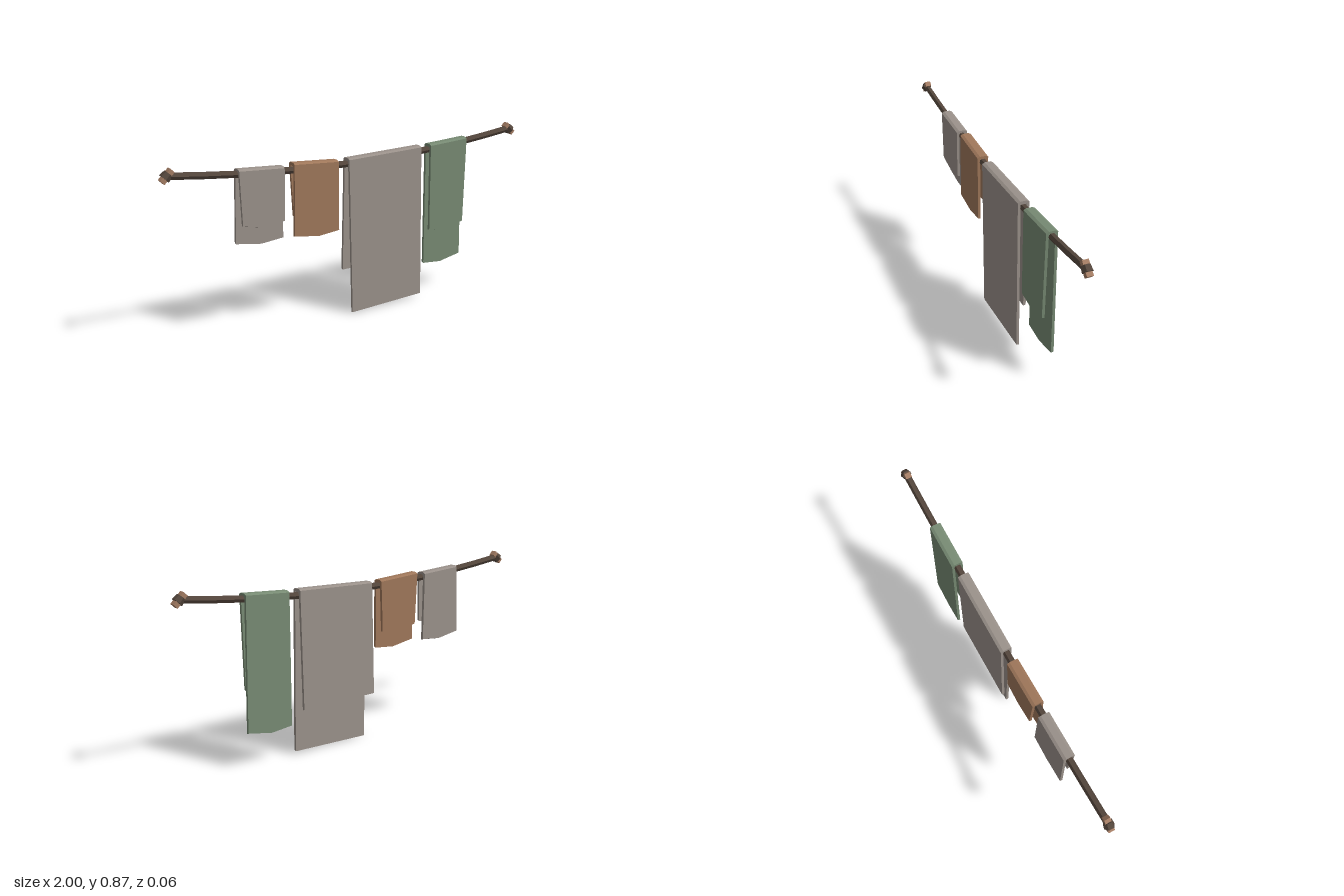
import * as THREE from 'three';

const paint = (name, color) => {
  const m = new THREE.MeshStandardMaterial({ color });
  m.name = name;
  return m;
};

// Faceted normals for any geometry
function facet(geometry) {
  const g = geometry.index ? geometry.toNonIndexed() : geometry;
  g.computeVertexNormals();
  return g;
}

// Folded cloth: an inverted U section swept over left, middle and right columns.
// top, front and back hold [x, y] for each column.
function clothGeometry({ top, front, back }) {
  const outer = 0.028, inner = 0.0145, crown = 0.015;
  const columns = [0, 1, 2].map((i) => {
    const [tx, ty] = top[i], [fx, fy] = front[i], [bx, by] = back[i];
    return [
      [fx, fy + 0.004, outer], [tx, ty - 0.007, outer], [tx, ty, crown],
      [tx, ty, -crown], [tx, ty - 0.007, -outer], [bx, by + 0.004, -outer],
      [bx, by, -inner], [tx, ty - 0.016, -inner],
      [tx, ty - 0.016, inner], [fx, fy, inner],
    ];
  });
  const out = [];
  const face = (pts) => {
    for (let k = 1; k < pts.length - 1; k++) out.push(...pts[0], ...pts[k], ...pts[k + 1]);
  };
  for (let i = 0; i < 2; i++) {
    const a = columns[i], b = columns[i + 1];
    for (let j = 0; j < 10; j++) {
      const n = (j + 1) % 10;
      face([a[j], b[j], b[n], a[n]]);
    }
  }
  // Side edges
  for (const cap of [[0, 1, 8, 9], [1, 2, 8], [2, 3, 7, 8], [3, 4, 7], [4, 5, 6, 7]]) {
    face(cap.map((j) => columns[0][j]));
    face([...cap].reverse().map((j) => columns[2][j]));
  }
  const g = new THREE.BufferGeometry();
  g.setAttribute('position', new THREE.Float32BufferAttribute(out, 3));
  return facet(g);
}

export function createModel() {
  const group = new THREE.Group();
  const ropeBrown = paint('rope brown', 0x54463c);
  const woodTan = paint('wood tan', 0xa47d64);
  const grey = paint('cloth grey', 0x9a918a);
  const rust = paint('cloth rust', 0x9f775a);
  const green = paint('cloth green', 0x778a73);

  const add = (name, geometry, material, parent = group) => {
    const mesh = new THREE.Mesh(geometry, material);
    mesh.name = name;
    parent.add(mesh);
    return mesh;
  };

  // Sagging rope
  const points = [];
  for (let i = 0; i <= 8; i++) {
    const x = -0.965 + (1.93 * i) / 8;
    points.push(new THREE.Vector3(x, 0.774 + 0.068 * x * x, 0));
  }
  const curve = new THREE.CatmullRomCurve3(points);
  add('rope', facet(new THREE.TubeGeometry(curve, 12, 0.017, 6, false)), ropeBrown);

  // Pegs and knots at both ends
  for (const side of [-1, 1]) {
    const end = new THREE.Group();
    end.name = side < 0 ? 'rightEnd' : 'leftEnd';
    end.position.set(side * 0.966, 0.838, 0);
    end.rotation.z = side * Math.PI / 4;
    group.add(end);
    add('peg', new THREE.BoxGeometry(0.026, 0.07, 0.03), woodTan, end);
    add('knot', facet(new THREE.CylinderGeometry(0.022, 0.026, 0.03, 6)), ropeBrown, end);
  }

  // Hanging cloths
  add('smallGreyCloth', clothGeometry({
    top: [[-0.638, 0.826], [-0.525, 0.819], [-0.41, 0.812]],
    front: [[-0.63, 0.558], [-0.52, 0.534], [-0.415, 0.55]],
    back: [[-0.65, 0.468], [-0.52, 0.447], [-0.404, 0.458]],
  }), grey);
  add('rustCloth', clothGeometry({
    top: [[-0.358, 0.82], [-0.24, 0.812], [-0.12, 0.804]],
    front: [[-0.365, 0.463], [-0.235, 0.442], [-0.12, 0.453]],
    back: [[-0.345, 0.55], [-0.235, 0.525], [-0.13, 0.54]],
  }), rust);
  add('largeGreyCloth', clothGeometry({
    top: [[-0.06, 0.804], [0.153, 0.81], [0.367, 0.816]],
    front: [[-0.043, 0.0], [0.168, 0.007], [0.38, 0.014]],
    back: [[-0.075, 0.228], [0.14, 0.227], [0.355, 0.226]],
  }), grey);
  add('greenCloth', clothGeometry({
    top: [[0.427, 0.816], [0.54, 0.822], [0.658, 0.829]],
    front: [[0.43, 0.36], [0.53, 0.345], [0.648, 0.372]],
    back: [[0.428, 0.165], [0.54, 0.154], [0.668, 0.178]],
  }), green);

  return group;
}
